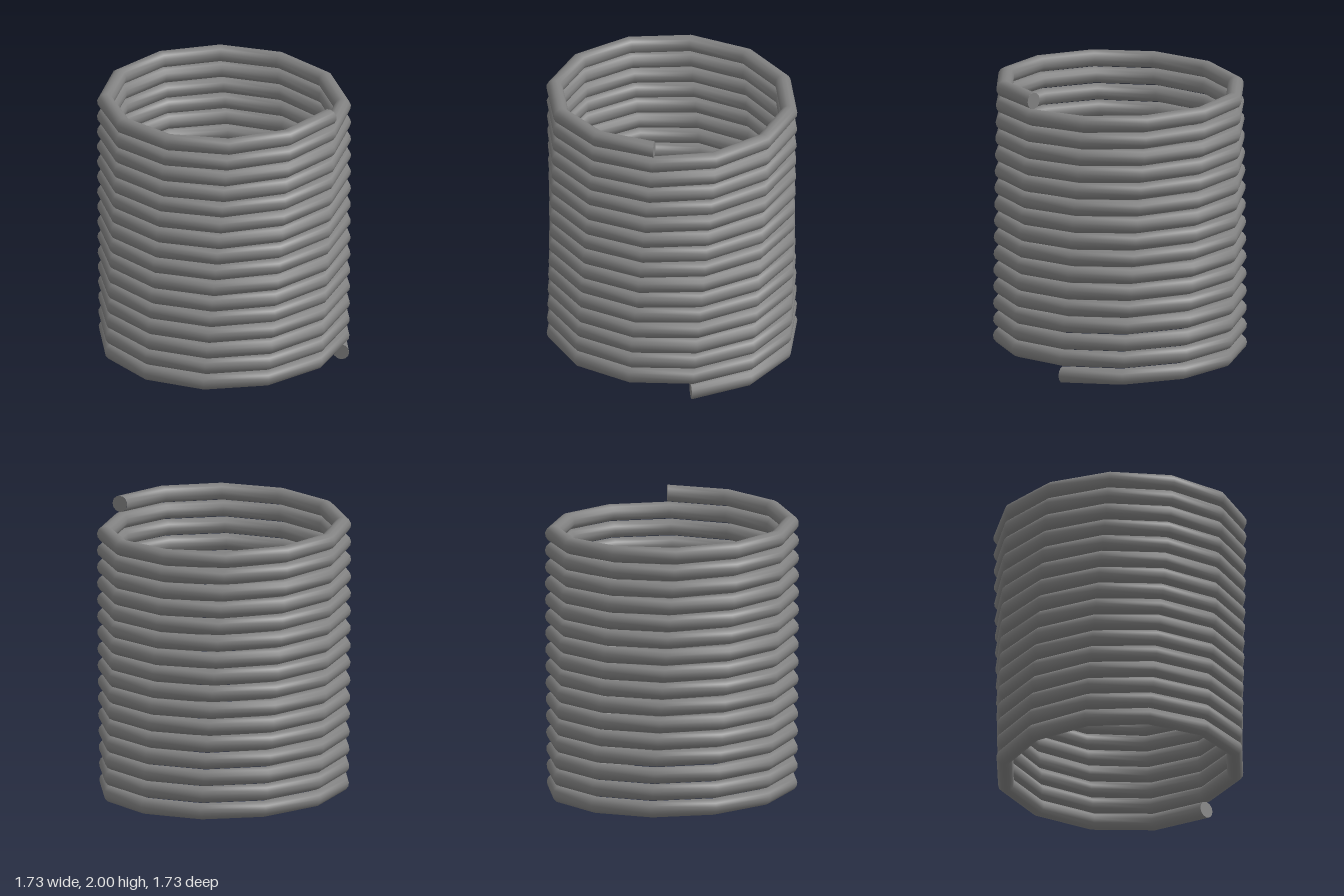
import * as THREE from 'three';

const COIL_RADIUS = 0.81;
const WIRE_RADIUS = 0.057;
const SEGMENTS = 191; // about twelve straight pieces per turn
const SIDES = 12;
const START = THREE.MathUtils.degToRad(-30.3);
const SWEEP = THREE.MathUtils.degToRad(-5742.3); // just under sixteen turns
const RISE = 2 - 2 * WIRE_RADIUS;

// Rising helix around the y axis
class Helix extends THREE.Curve {
  getPoint(t, target = new THREE.Vector3()) {
    const a = START + SWEEP * t;
    return target.set(COIL_RADIUS * Math.cos(a), WIRE_RADIUS + RISE * t, COIL_RADIUS * Math.sin(a));
  }
  getTangent(t, target = new THREE.Vector3()) {
    const a = START + SWEEP * t;
    return target.set(-COIL_RADIUS * SWEEP * Math.sin(a), RISE, COIL_RADIUS * SWEEP * Math.cos(a)).normalize();
  }
  // The helix has constant speed, so arc length is proportional to t
  getPointAt(t, target) { return this.getPoint(t, target); }
  getTangentAt(t, target) { return this.getTangent(t, target); }
}

export function createModel() {
  const group = new THREE.Group();
  group.name = 'coilSpring';
  const steel = new THREE.MeshStandardMaterial({ color: 0x808080 });
  steel.name = 'grey steel';
  const helix = new Helix();

  // Coiled wire
  const wire = new THREE.Mesh(new THREE.TubeGeometry(helix, SEGMENTS, WIRE_RADIUS, SIDES, false), steel);
  wire.name = 'coiledWire';
  group.add(wire);

  // Flat cut ends, facing outward along the wire
  for (const [name, t, sign] of [['bottomEnd', 0, -1], ['topEnd', 1, 1]]) {
    const cap = new THREE.Mesh(new THREE.CircleGeometry(WIRE_RADIUS, SIDES), steel);
    cap.name = name;
    cap.position.copy(helix.getPoint(t));
    cap.lookAt(helix.getPoint(t).addScaledVector(helix.getTangent(t), sign));
    group.add(cap);
  }
  return group;
}
